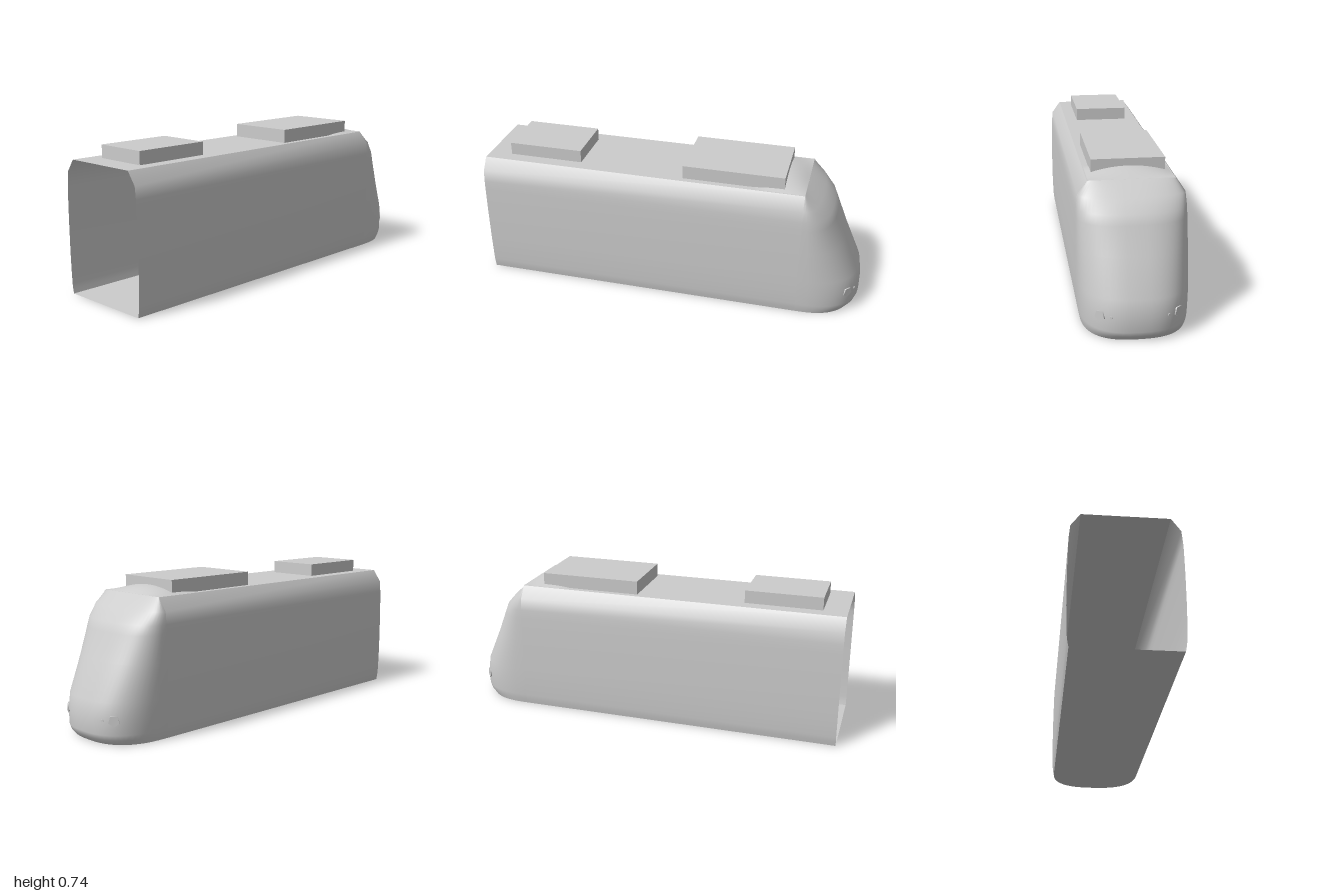
import * as THREE from 'three';

const FRONT = 1, SEAM = -0.69, ROOF = 0.668, POWER = 2.6;

// Levels of the shell: height, half width, depth of the nose tip
const LEVELS = [
  [0, 0.247, -0.965], [0.025, 0.252, -0.988], [0.05, 0.255, -0.998], [0.12, 0.258, -0.998],
  [0.2, 0.26, -0.985], [0.37, 0.26, -0.905], [0.5, 0.258, -0.848], [0.545, 0.256, -0.828],
  [0.605, 0.25, -0.77], [ROOF, 0.205, SEAM],
];

// Rounded outline of the nose at one level, from the left side round to the right
function noseOutline([, w, tip], steps = 28) {
  const points = [];
  for (let i = 0; i <= steps; i++) {
    const a = (i / steps) * Math.PI;
    const c = Math.cos(a), s = Math.max(0, Math.sin(a));
    points.push([
      w * Math.sign(c) * Math.abs(c) ** (2 / POWER),
      SEAM + (tip - SEAM) * s ** (2 / POWER),
    ]);
  }
  return points;
}

// Smooth surface through rows of [x, y, z] points
function loft(rows) {
  const n = rows[0].length, index = [];
  for (let i = 0; i < rows.length - 1; i++) {
    for (let j = 0; j < n - 1; j++) {
      const a = i * n + j, d = a + n;
      index.push(a, a + 1, d + 1, a, d + 1, d);
    }
  }
  const g = new THREE.BufferGeometry();
  g.setAttribute('position', new THREE.Float32BufferAttribute(rows.flat(2), 3));
  g.setIndex(index);
  g.computeVertexNormals();
  return g;
}

export function createModel() {
  const group = new THREE.Group();
  const grey = new THREE.MeshStandardMaterial({ color: 0xcccccc, side: THREE.DoubleSide });
  grey.name = 'light grey';
  const add = (name, geometry) => {
    const mesh = new THREE.Mesh(geometry, grey);
    mesh.name = name;
    group.add(mesh);
    return mesh;
  };

  // Side walls with rounded shoulders, open at the front end
  add('leftWall', loft(LEVELS.map(([y, w]) => [[w, y, FRONT], [w, y, SEAM]])));
  add('rightWall', loft(LEVELS.map(([y, w]) => [[-w, y, SEAM], [-w, y, FRONT]])));

  // Flat roof
  const roof = new THREE.PlaneGeometry(0.41, FRONT - SEAM).rotateX(-Math.PI / 2);
  add('roof', roof.translate(0, ROOF, (FRONT + SEAM) / 2));

  // Sloping rounded nose
  add('nose', loft(LEVELS.map((l) => noseOutline(l).map(([x, z]) => [x, l[0], z]))));

  // Floor following the walls and nose
  const w0 = LEVELS[0][1];
  const outline = [[w0, FRONT], ...noseOutline(LEVELS[0]), [-w0, FRONT]];
  const floorShape = new THREE.Shape(outline.map(([x, z]) => new THREE.Vector2(x, z)));
  add('floor', new THREE.ShapeGeometry(floorShape).rotateX(Math.PI / 2));

  // Low fairing swelling out of the roof behind the nose
  const fairing = new THREE.PlaneGeometry(0.4, 0.25, 16, 12).rotateX(-Math.PI / 2);
  const p = fairing.attributes.position;
  for (let i = 0; i < p.count; i++) {
    const u = p.getX(i) / 0.2, v = p.getZ(i) / 0.125;
    p.setY(i, 0.034 * (1 - u * u) * (1 - v * v));
  }
  fairing.computeVertexNormals();
  add('roofFairing', fairing.translate(0, ROOF + 0.0005, SEAM + 0.125));

  // Roof equipment boxes
  const box = (name, width, top, z0, z1) =>
    add(name, new THREE.BoxGeometry(width, top - ROOF, z1 - z0)
      .translate(0, (top + ROOF) / 2, (z0 + z1) / 2));
  box('frontRoofUnit', 0.28, 0.733, 0.49, 0.88);
  box('rearRoofUnit', 0.35, 0.737, -0.585, -0.065);

  // Pairs of thin lamps lying on the nose
  const [lampY, lampW, lampTip] = LEVELS[3];
  const lamp = (name, side, x, radius, sides) => {
    const depth = SEAM - lampTip;
    const u = x / lampW, t = (1 - u ** POWER) ** (1 / POWER);
    const normal = new THREE.Vector3(
      side * u ** (POWER - 1) / lampW, 0, -(t ** (POWER - 1)) / depth).normalize();
    const mesh = add(name, new THREE.CylinderGeometry(radius, radius, 0.008, sides).rotateX(Math.PI / 2));
    mesh.position.set(side * x, lampY, SEAM - depth * t);
    mesh.lookAt(mesh.position.clone().add(normal));
  };
  for (const side of [1, -1]) {
    const label = side > 0 ? 'left' : 'right';
    lamp(label + 'Headlamp', side, 0.178, 0.028, 5);
    lamp(label + 'MarkerLamp', side, 0.13, 0.007, 5);
  }
  return group;
}
